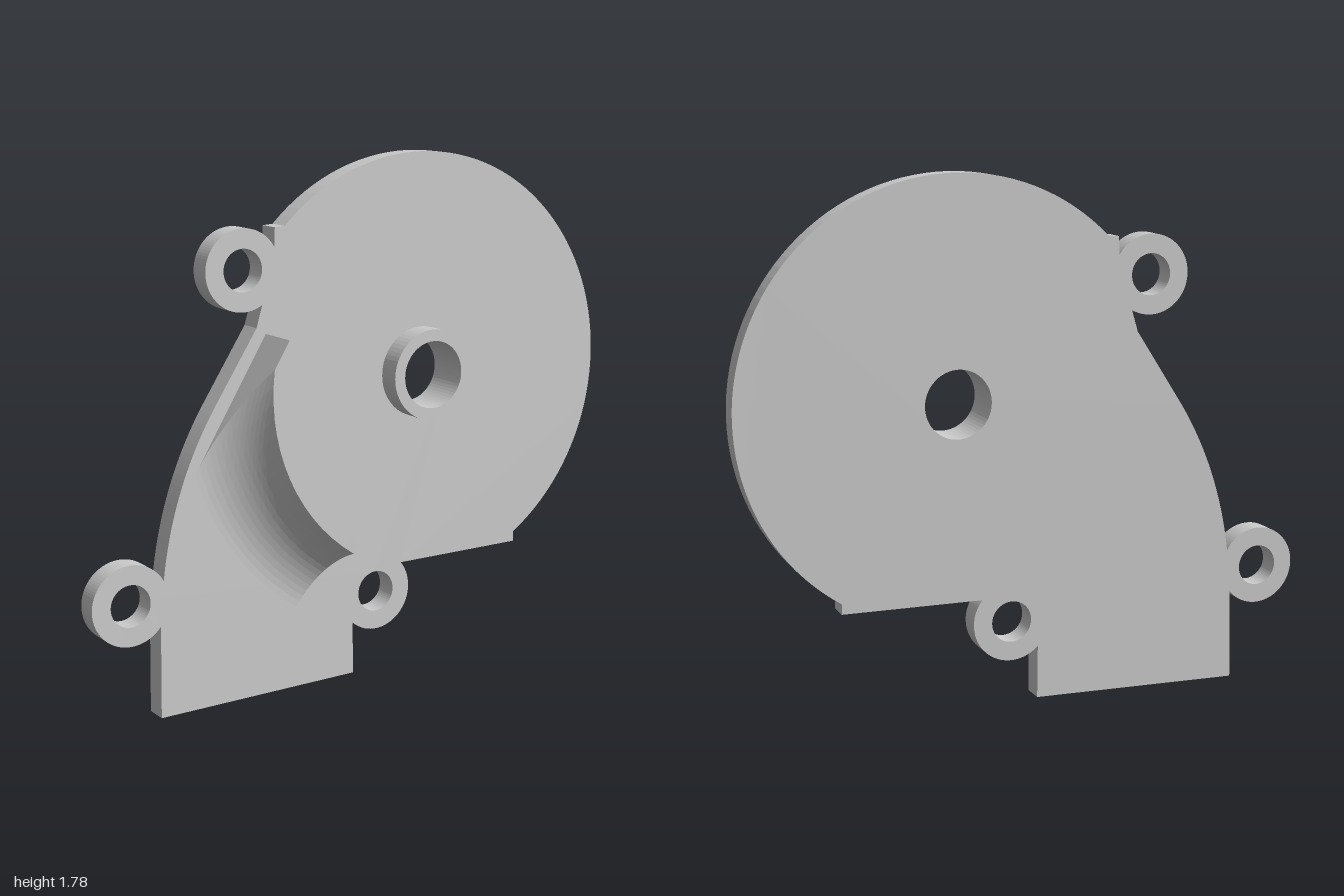
import * as THREE from 'three';

const material = new THREE.MeshStandardMaterial({ color: 0xcccccc, flatShading: true });
const rad = THREE.MathUtils.degToRad;
const HUB = { x: 0.25, y: 1.04 };
const THICK = 0.08;
const EAR_R = 0.135;
const EARS = { lower: [0.06, 0.29], upper: [-0.43, 1.44], side: [-0.865, 0.4] };

function circleHole(x, y, r) {
  const path = new THREE.Path();
  path.absarc(x, y, r, 0, Math.PI * 2, true);
  return path;
}

// Flat cover: disc, outlet duct and screw ears in one outline
function makePlate() {
  const s = new THREE.Shape();
  const ear = ([x, y], from, to) => s.absarc(x, y, EAR_R, rad(from), rad(to), false);
  s.moveTo(-0.77, 0.003);
  s.lineTo(-0.035, 0.013);
  ear(EARS.lower, 225, 399);
  s.lineTo(0.65, 0.375);
  s.absarc(HUB.x, HUB.y, 0.746, rad(-57.6), rad(134.5), false);
  s.lineTo(-0.31, 1.57);
  ear(EARS.upper, 30, 300);
  s.lineTo(-0.385, 1.25);
  s.lineTo(-0.55, 1.0);
  s.quadraticCurveTo(-0.705, 0.76, -0.746, 0.465);
  ear(EARS.side, 28, 320);
  s.closePath();
  s.holes.push(circleHole(HUB.x, HUB.y, 0.115));
  for (const [x, y] of Object.values(EARS)) s.holes.push(circleHole(x, y, 0.07));
  const g = new THREE.ExtrudeGeometry(s, { depth: THICK, bevelEnabled: false, curveSegments: 32 });
  return g.translate(0, 0, -THICK);
}

// Raised collar around the shaft hole
function makeCollar() {
  const s = new THREE.Shape();
  s.absarc(HUB.x, HUB.y, 0.155, 0, Math.PI * 2, false);
  s.holes.push(circleHole(HUB.x, HUB.y, 0.115));
  return new THREE.ExtrudeGeometry(s, { depth: 0.08, bevelEnabled: false, curveSegments: 32 });
}

// Curved deflector: wall and concave fillet swept about the hub, trimmed by a straight line
function makeDeflector() {
  const height = 0.153, fillet = 0.265, sweep = rad(65), outer = 0.905, steps = 14, slices = 14;
  const profile = [[0.63, 0], [0.63, height]];
  for (let i = 0; i <= steps; i++) {
    const a = sweep * (1 - i / steps);
    profile.push([outer - fillet * Math.sin(a), fillet * (1 - Math.cos(a))]);
  }
  // Angle at which a circle of radius r meets the trim line
  const start = new THREE.Vector2(-0.35 - HUB.x, 1.23 - HUB.y);
  const dir = new THREE.Vector2(-0.27, -0.43).normalize();
  const trimAngle = (r) => {
    const b = start.dot(dir);
    const t = -b + Math.sqrt(Math.max(0, b * b - start.lengthSq() + r * r));
    const p = start.clone().addScaledVector(dir, t);
    return Math.atan2(p.y, p.x);
  };
  const end = rad(236) ;
  const point = (i, j) => {
    const [r, z] = profile[i];
    const a0 = (trimAngle(r) + Math.PI * 2) % (Math.PI * 2);
    const a = a0 + (end - a0) * j / slices;
    return [HUB.x + r * Math.cos(a), HUB.y + r * Math.sin(a), z];
  };
  const pos = [];
  const tri = (...pts) => pts.forEach((p) => pos.push(...p));
  const n = profile.length;
  for (let i = 0; i < n; i++) {
    const k = (i + 1) % n;
    for (let j = 0; j < slices; j++) {
      const a = point(i, j), b = point(k, j), c = point(k, j + 1), d = point(i, j + 1);
      tri(a, c, b);
      tri(a, d, c);
    }
  }
  // End caps, fanned from the foot of the wall
  for (let i = 1; i < n - 1; i++) {
    tri(point(0, 0), point(i, 0), point(i + 1, 0));
    tri(point(0, slices), point(i + 1, slices), point(i, slices));
  }
  const g = new THREE.BufferGeometry();
  g.setAttribute('position', new THREE.Float32BufferAttribute(pos, 3));
  g.computeVertexNormals();
  return g;
}

export function createModel() {
  const group = new THREE.Group();
  group.name = 'blowerCover';
  const add = (name, geometry, mat = material) => {
    const mesh = new THREE.Mesh(geometry, mat);
    mesh.name = name;
    group.add(mesh);
  };
  const twoSided = material.clone();
  twoSided.side = THREE.DoubleSide;
  add('coverPlate', makePlate());
  add('shaftCollar', makeCollar());
  add('airDeflector', makeDeflector(), twoSided);
  // The cover leans back very slightly
  group.rotation.set(-0.0195, -0.01, 0);
  group.position.z = -0.015;
  return group;
}
